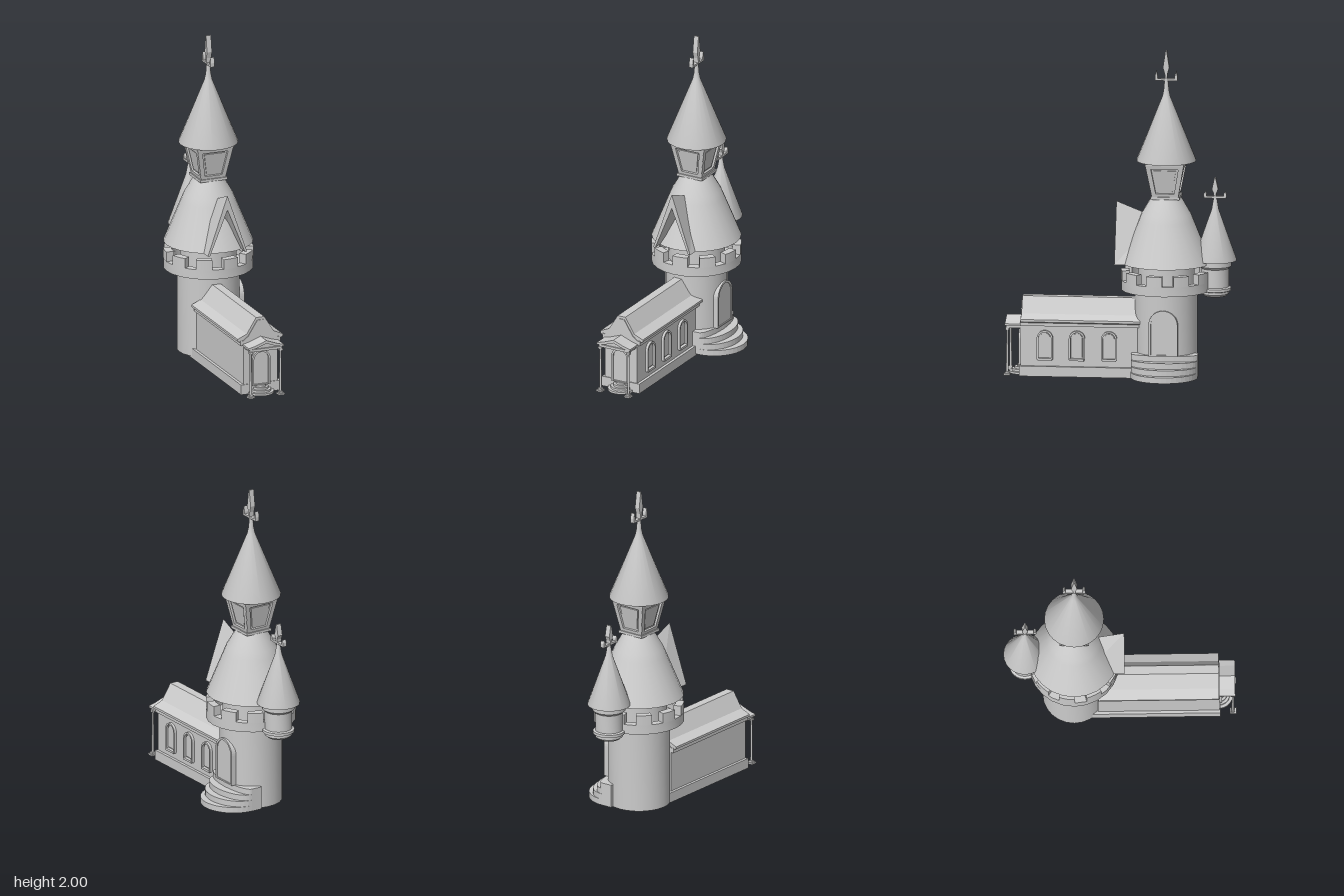
import * as THREE from 'three';
import { toCreasedNormals } from 'three/addons/utils/BufferGeometryUtils.js';

const TX = -0.03, TZ = -0.278;   // tower axis
const HX = -0.053;               // hall centre line
const SEG = 24;
const mat = new THREE.MeshStandardMaterial({ color: 0xcccccc, side: THREE.DoubleSide });

function add(parent, name, geo, x = 0, y = 0, z = 0) {
  const m = new THREE.Mesh(geo, mat);
  m.name = name;
  m.position.set(x, y, z);
  parent.add(m);
  return m;
}
const poly = pts => new THREE.Shape(pts.map(p => new THREE.Vector2(p[0], p[1])));
const mirrored = pts => poly([...pts, ...pts.map(([x, y]) => [-x, y]).reverse()]);
const extrude = (shape, depth) =>
  new THREE.ExtrudeGeometry(shape, { depth, bevelEnabled: false, curveSegments: 10 });
const lathe = pts => toCreasedNormals(
  new THREE.LatheGeometry(pts.map(p => new THREE.Vector2(p[0], p[1])), SEG), 0.5);

// Round-headed opening, centred on x = 0
function arch(halfW, y0, top) {
  const s = new THREE.Shape();
  s.moveTo(-halfW, y0);
  s.lineTo(halfW, y0);
  s.lineTo(halfW, top - halfW);
  s.absarc(0, top - halfW, halfW, 0, Math.PI, false);
  s.closePath();
  return s;
}
function archFrame(halfW, y0, top, t, depth) {
  const s = arch(halfW, y0, top);
  s.holes.push(arch(halfW - t, y0 + t * 0.6, top - t));
  return extrude(s, depth);
}
// Half-elliptical step, bulging toward +z, with a straight part behind
function step(halfW, bulge, back, height) {
  const s = new THREE.Shape();
  s.moveTo(halfW, back);
  s.lineTo(halfW, 0);
  s.absellipse(0, 0, halfW, bulge, 0, -Math.PI, true);
  s.lineTo(-halfW, back);
  s.closePath();
  return extrude(s, height).rotateX(-Math.PI / 2);
}

// Three-pronged roof ornament lying in the yz plane
function finial(name, y, h, tine) {
  const g = new THREE.Group();
  g.name = name;
  const flat = (s, w) => extrude(s, w).translate(0, 0, -w / 2).rotateY(Math.PI / 2);
  add(g, 'finialBlade', flat(mirrored([[0.006, 0], [0.008, h * 0.2], [0.019, h * 0.42], [0.004, h]]), 0.032));
  add(g, 'finialBar', new THREE.BoxGeometry(0.026, 0.012, 0.136));
  for (const s of [-1, 1])
    add(g, 'finialTine', flat(poly([[-0.008, -0.005], [0.008, -0.005], [0.009, 0.02], [0, tine], [-0.009, 0.02]]), 0.026), 0, 0, s * 0.06);
  g.position.y = y;
  return g;
}

function makeTower() {
  const g = new THREE.Group();
  g.name = 'tower';
  g.position.set(TX, 0, TZ);
  add(g, 'towerWall', lathe([[0, 0.012], [0.19, 0.012], [0.19, 0.56], [0.172, 0.56], [0.172, 0.71], [0, 0.71]]));

  // Battlement
  add(g, 'parapet', lathe([[0.18, 0.535], [0.273, 0.535], [0.273, 0.595], [0.225, 0.595], [0.225, 0.56], [0.17, 0.56]]));
  const half = THREE.MathUtils.degToRad(10.5);
  const merlon = new THREE.Shape();
  merlon.absarc(0, 0, 0.273, -half, half, false);
  merlon.absarc(0, 0, 0.225, half, -half, true);
  merlon.closePath();
  const merlonGeo = extrude(merlon, 0.062).rotateX(-Math.PI / 2);
  for (let i = 0; i < 10; i++)
    add(g, 'merlon', merlonGeo, 0, 0.594, 0).rotation.y = THREE.MathUtils.degToRad(8 + 18 + 36 * i);

  // Bell-shaped lower roof
  add(g, 'lowerRoof', lathe([[0, 0.70], [0.272, 0.70], [0.168, 0.956], [0.15, 1.0], [0.092, 1.10], [0, 1.10]]));

  // Gabled dormer, its ridge falling toward the back
  const dormer = extrude(poly([[-0.128, 0.70], [-0.114, 0.70], [0, 0.98], [0.114, 0.70], [0.128, 0.70], [0, 1.07]]), 0.25);
  const p = dormer.attributes.position;
  for (let i = 0; i < p.count; i++) {
    const k = (p.getY(i) - 0.70) / 0.37;
    p.setY(i, p.getY(i) - 0.4 * k * (0.25 - p.getZ(i)));
  }
  dormer.computeVertexNormals();
  add(g, 'dormer', dormer, 0, 0, 0.053);

  // Square lantern flaring upward
  const prism = (top, bottom, h) => new THREE.CylinderGeometry(top * Math.SQRT2, bottom * Math.SQRT2, h, 4, 1)
    .rotateY(Math.PI / 4).toNonIndexed();
  const lantern = new THREE.Group();
  lantern.name = 'lantern';
  g.add(lantern);
  const core = prism(0.104, 0.066, 0.22);
  core.computeVertexNormals();
  add(lantern, 'lanternCore', core, 0, 1.215, 0);
  add(lantern, 'lanternBase', new THREE.BoxGeometry(0.176, 0.016, 0.176), 0, 1.106, 0);
  add(lantern, 'lanternTop', new THREE.BoxGeometry(0.236, 0.014, 0.236), 0, 1.318, 0);
  const frame = poly([[-0.078, 0], [0.078, 0], [0.116, 0.206], [-0.116, 0.206]]);
  frame.holes.push(poly([[-0.056, 0.024], [0.056, 0.024], [0.083, 0.182], [-0.083, 0.182]]));
  const frameGeo = extrude(frame, 0.014);
  const paneGeo = extrude(poly([[-0.044, 0.036], [0.044, 0.036], [0.068, 0.17], [-0.068, 0.17]]), 0.006);
  for (let i = 0; i < 4; i++) {
    const side = new THREE.Group();
    side.name = 'lanternSide';
    side.rotation.y = i * Math.PI / 2;
    lantern.add(side);
    for (const [n, geo] of [['lanternFrame', frameGeo], ['lanternPane', paneGeo]])
      add(side, n, geo, 0, 1.112, 0.066).rotation.x = Math.atan2(0.038, 0.206);
  }

  // Spire
  add(g, 'spire', lathe([[0, 1.34], [0.165, 1.325], [0.18, 1.325], [0.18, 1.333], [0.024, 1.72], [0.016, 1.76], [0.011, 1.825], [0, 1.825]]));
  g.add(finial('spireFinial', 1.823, 0.177, 0.055));

  // Side door, facing +x
  const door = new THREE.Group();
  door.name = 'sideDoor';
  door.rotation.y = Math.PI / 2;
  g.add(door);
  add(door, 'doorFrame', archFrame(0.088, 0.155, 0.435, 0.014, 0.08), 0, 0, 0.12);
  add(door, 'doorPanel', extrude(arch(0.078, 0.155, 0.425), 0.074), 0, 0, 0.12);
  [0.2, 0.158, 0.113, 0.06].forEach((bulge, i) =>
    add(door, 'sideStep', step(0.202, bulge, 0.07, 0.036), 0, 0.013 + i * 0.0355, 0.128));
  return g;
}

// Small corner turret hung on the back of the tower
function makeTurret() {
  const g = new THREE.Group();
  g.name = 'turret';
  g.position.set(TX, 0, -0.575);
  add(g, 'turretWall', lathe([[0, 0.50], [0.065, 0.50], [0.083, 0.515], [0.083, 0.53], [0.097, 0.535], [0.097, 0.552],
    [0.083, 0.557], [0.083, 0.67], [0.1, 0.685], [0.1, 0.722], [0, 0.722]]));
  add(g, 'turretRoof', lathe([[0, 0.73], [0.115, 0.718], [0.13, 0.718], [0.13, 0.726], [0.022, 1.03], [0.009, 1.105], [0, 1.105]]));
  g.add(finial('turretFinial', 1.106, 0.119, 0.036));
  return g;
}

function makeHall() {
  const g = new THREE.Group();
  g.name = 'hall';
  g.position.x = HX;
  add(g, 'plinth', new THREE.BoxGeometry(0.26, 0.062, 0.915), 0, 0.031, 0.148);
  add(g, 'hallWall', extrude(mirrored([[0.112, 0.06], [0.112, 0.34], [0.08, 0.365], [0.02, 0.46]]), 0.735), 0, 0, -0.135);
  for (const s of [-1, 1])
    add(g, 'cornice', new THREE.BoxGeometry(0.022, 0.03, 0.735), s * 0.12, 0.325, 0.2325);
  // Flared roof
  add(g, 'hallRoof', extrude(mirrored([[0.108, 0.318], [0.148, 0.338], [0.148, 0.352], [0.088, 0.378], [0.027, 0.476]]), 0.727), 0, 0, -0.132);

  // Windows on the +x wall
  for (const z of [0.45, 0.255, 0.06]) {
    const w = new THREE.Group();
    w.name = 'window';
    w.position.set(0.108, 0, z);
    w.rotation.y = Math.PI / 2;
    g.add(w);
    add(w, 'windowFrame', archFrame(0.049, 0.105, 0.283, 0.011, 0.02));
    add(w, 'windowPane', extrude(arch(0.032, 0.12, 0.266), 0.01));
    add(w, 'windowSill', new THREE.BoxGeometry(0.085, 0.014, 0.028), 0, 0.106, 0.01);
  }

  // Front door and its steps
  add(g, 'frontDoorFrame', archFrame(0.06, 0.05, 0.272, 0.012, 0.018), 0, 0, 0.598);
  add(g, 'frontDoorPanel', extrude(arch(0.05, 0.05, 0.262), 0.008), 0, 0, 0.598);
  [0.082, 0.064, 0.048, 0.032].forEach((r, i) =>
    add(g, 'frontStep', step(r, r, 0.02, 0.0135), 0, i * 0.0135, 0.598));

  // Porch
  const porch = new THREE.Group();
  porch.name = 'porch';
  g.add(porch);
  add(porch, 'porchRoof', extrude(poly([[-0.116, 0.306], [-0.07, 0.312], [0, 0.337], [0.07, 0.312], [0.116, 0.306],
    [0.116, 0.318], [0.075, 0.328], [0, 0.356], [-0.075, 0.328], [-0.116, 0.318]]), 0.098), 0, 0, 0.596);
  add(porch, 'pediment', extrude(poly([[-0.09, 0.307], [0.09, 0.307], [0, 0.342]]), 0.01), 0, 0, 0.67);
  add(porch, 'porchBeam', new THREE.BoxGeometry(0.21, 0.016, 0.014), 0, 0.298, 0.68);
  for (const s of [-1, 1]) {
    const x = s * 0.097;
    add(porch, 'sideBeam', new THREE.BoxGeometry(0.014, 0.016, 0.09), x, 0.298, 0.642);
    add(porch, 'column', new THREE.CylinderGeometry(0.006, 0.008, 0.285, 10), x, 0.15, 0.68);
    add(porch, 'columnFoot', new THREE.BoxGeometry(0.04, 0.01, 0.04), x, 0.005, 0.682);
    add(porch, 'columnBase', new THREE.BoxGeometry(0.024, 0.014, 0.024), x, 0.014, 0.68);
    add(porch, 'columnCapital', new THREE.BoxGeometry(0.022, 0.014, 0.022), x, 0.285, 0.68);
  }
  return g;
}

export function createModel() {
  const model = new THREE.Group();
  model.name = 'castleTower';
  model.add(makeTower(), makeTurret(), makeHall());
  return model;
}
